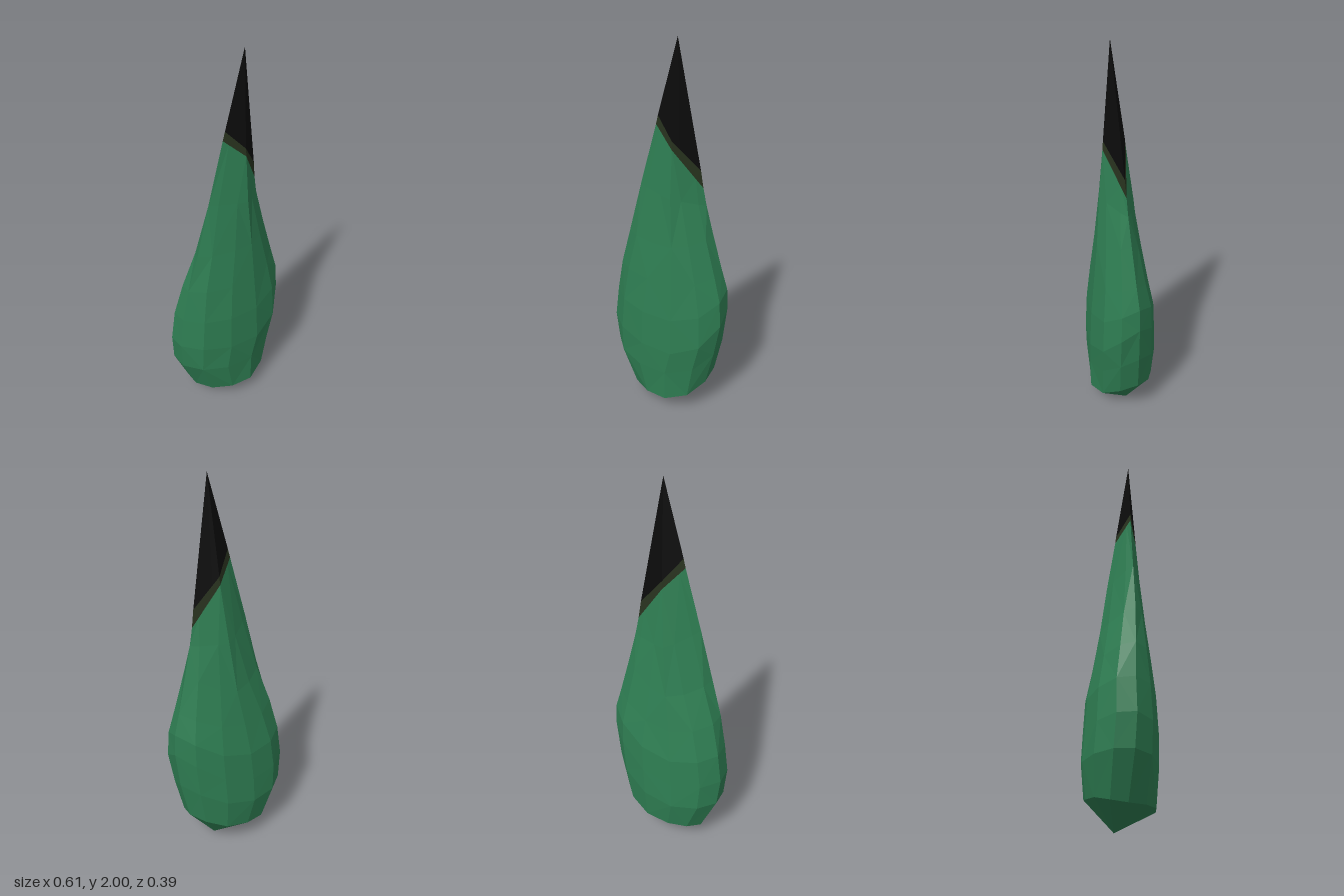
import * as THREE from 'three';

// Four ridge lines running from the base up to the tip
const LEFT = [[-.2, .08, -.05], [-.29, .29, -.06], [-.305, .45, -.055], [-.285, .62, -.05], [-.255, .8, -.035],
  [-.205, 1, -.01], [-.14, 1.27, .01], [-.06, 1.585, .035], [-.05, 1.63, .04]];
const FRONT = [[0, .09, .18], [0, .26, .182], [.03, .4, .195], [.03, .6, .185], [.03, .8, .165],
  [.03, 1, .145], [.02, 1.25, .125], [.025, 1.49, .106], [.025, 1.53, .103]];
const RIGHT = [[.245, .21, .03], [.285, .42, .05], [.305, .62, .06], [.3, .74, .06], [.27, .85, .06],
  [.22, 1.05, .06], [.185, 1.2, .06], [.168, 1.29, .06], [.155, 1.38, .062]];
const BACK = [[0, .12, -.165], [-.02, .28, -.193], [-.02, .42, -.183], [-.01, .58, -.17], [0, .75, -.135],
  [.02, .94, -.097], [.035, 1.2, -.055], [.045, 1.49, -.005], [.045, 1.53, 0]];
// Section shape per level: 1 is an ellipse, 2 is a diamond
const POWER = [1, 1, 1, 1, 1.1, 1.3, 1.7, 2, 2];
const BASE = [.085, 0, .01];
const TIP = [.045, 2, .074];
const STEPS = 3;

// One closed cross-section through the four ridges
function section(k) {
  const ridges = [LEFT[k], FRONT[k], RIGHT[k], BACK[k]];
  const centre = [0, 1, 2].map((a) => ridges.reduce((s, r) => s + r[a] / 4, 0));
  const points = [];
  for (let q = 0; q < 4; q++) {
    const a = ridges[q], b = ridges[(q + 1) % 4];
    for (let i = 0; i < STEPS; i++) {
      const t = (i / STEPS) * Math.PI / 2;
      const c = Math.cos(t), s = Math.sin(t);
      const u = c ** POWER[k], v = s ** POWER[k];
      const mix = (n) => centre[n] + (a[n] - centre[n]) * u + (b[n] - centre[n]) * v;
      points.push([mix(0), a[1] * c * c + b[1] * s * s, mix(2)]);
    }
  }
  return points;
}

const collapse = (p) => Array.from({ length: 4 * STEPS }, () => p);

// Faceted skin between successive sections, with alternating diagonals
function skin(name, rings, material) {
  const pos = [];
  const tri = (a, b, c) => {
    if (a !== b && b !== c && c !== a) pos.push(...a, ...b, ...c);
  };
  for (let k = 0; k < rings.length - 1; k++) {
    const lo = rings[k], hi = rings[k + 1], n = lo.length;
    for (let i = 0; i < n; i++) {
      const j = (i + 1) % n;
      if ((i + k) % 2) {
        tri(lo[i], lo[j], hi[j]);
        tri(lo[i], hi[j], hi[i]);
      } else {
        tri(lo[i], lo[j], hi[i]);
        tri(lo[j], hi[j], hi[i]);
      }
    }
  }
  const geometry = new THREE.BufferGeometry();
  geometry.setAttribute('position', new THREE.Float32BufferAttribute(pos, 3));
  geometry.computeVertexNormals();
  const mesh = new THREE.Mesh(geometry, material);
  mesh.name = name;
  return mesh;
}

function material(name, color) {
  const m = new THREE.MeshStandardMaterial({ color, flatShading: true });
  m.name = name;
  return m;
}

export function createModel() {
  const group = new THREE.Group();
  group.name = 'pointedShard';
  const rings = POWER.map((_, k) => section(k));

  // Green body, closed by a low point at the base
  group.add(skin('body', [collapse(BASE), ...rings.slice(0, 8)], material('green', 0x2e7d52)));
  // Thin dark band between body and tip
  group.add(skin('band', rings.slice(7, 9), material('darkOlive', 0x28321e)));
  // Black pointed tip
  group.add(skin('tip', [rings[8], collapse(TIP)], material('black', 0x0b0b0b)));
  return group;
}
